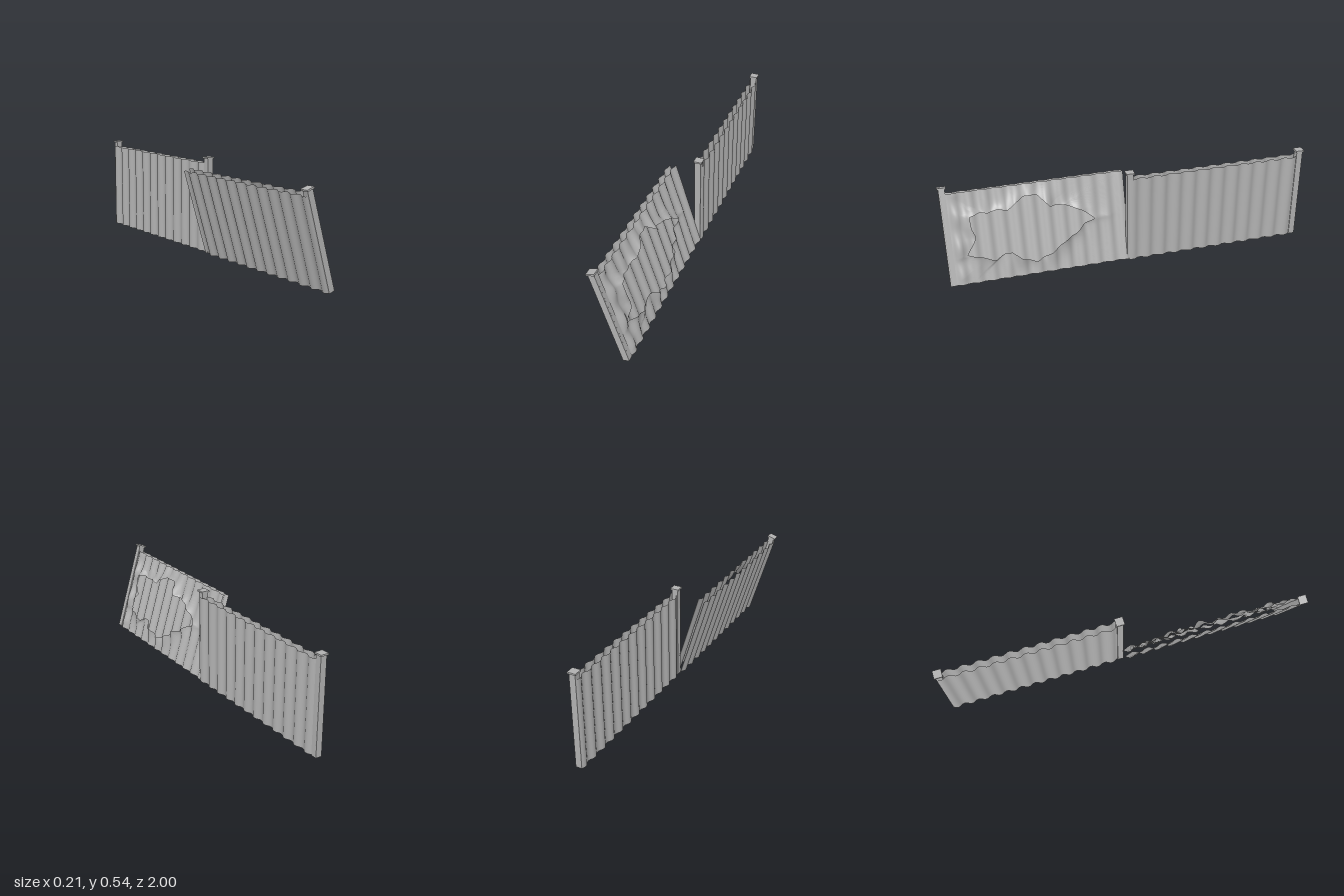
import * as THREE from 'three';

const HEIGHT = 0.5, WAVES = 12, DEPTH = 0.007;

// Corrugation: rounded ridges running up the sheet
const wave = (t) => {
  const s = Math.sin(t * WAVES * Math.PI * 2);
  return DEPTH * Math.sign(s) * Math.pow(Math.abs(s), 0.8);
};

// Grid surface from a rule (i, j) -> [x, y, z]
function surface(nu, nv, rule, closed) {
  const pos = [], idx = [], cols = closed ? nu : nu + 1;
  for (let j = 0; j <= nv; j++)
    for (let i = 0; i < cols; i++) pos.push(...rule(i / nu, j / nv));
  for (let j = 0; j < nv; j++)
    for (let i = 0; i < nu; i++) {
      const k = (i + 1) % cols;
      const a = j * cols + i, b = j * cols + k, c = a + cols, d = b + cols;
      idx.push(a, b, d, a, d, c);
    }
  const g = new THREE.BufferGeometry();
  g.setAttribute('position', new THREE.Float32BufferAttribute(pos, 3));
  g.setIndex(idx);
  g.computeVertexNormals();
  return g;
}

// Intact sheet between two z positions
const plainSheet = (x, z0, z1) =>
  surface(WAVES * 12, 4, (u, v) => [x + wave(u), v * HEIGHT, z0 + (z1 - z0) * u], false);

// Outline of the torn opening as [z, height]
const TEAR = [
  [0.185, 0.262], [0.25, 0.315], [0.345, 0.36], [0.425, 0.362], [0.45, 0.39], [0.49, 0.435],
  [0.56, 0.435], [0.61, 0.405], [0.65, 0.372], [0.70, 0.385], [0.757, 0.37], [0.80, 0.38],
  [0.855, 0.365], [0.85, 0.30], [0.83, 0.25], [0.885, 0.155], [0.81, 0.14], [0.74, 0.11],
  [0.69, 0.14], [0.65, 0.138], [0.60, 0.10], [0.525, 0.07], [0.46, 0.095], [0.40, 0.13],
  [0.36, 0.165], [0.30, 0.19], [0.25, 0.235],
];
const CENTRE = [0.56, 0.255];

// Where a ray from the centre of the opening meets its outline
function tearPoint(dz, dy) {
  for (let i = 0; i < TEAR.length; i++) {
    const a = TEAR[i], b = TEAR[(i + 1) % TEAR.length];
    const ez = b[0] - a[0], ey = b[1] - a[1];
    const pz = a[0] - CENTRE[0], py = a[1] - CENTRE[1];
    const det = dz * ey - dy * ez;
    if (Math.abs(det) < 1e-9) continue;
    const t = (pz * ey - py * ez) / det, s = (pz * dy - py * dz) / det;
    if (t > 0 && s >= -1e-6 && s <= 1 + 1e-6) return [CENTRE[0] + dz * t, CENTRE[1] + dy * t];
  }
  return TEAR[0];
}

// Torn sheet: rings from the opening out to the rectangular edge
function tornSheet(x, z0, z1) {
  const nz = WAVES * 10, ny = 40, rim = [];
  for (let i = 0; i < nz; i++) rim.push([z0 + (z1 - z0) * i / nz, 0]);
  for (let i = 0; i < ny; i++) rim.push([z1, HEIGHT * i / ny]);
  for (let i = 0; i < nz; i++) rim.push([z1 - (z1 - z0) * i / nz, HEIGHT]);
  for (let i = 0; i < ny; i++) rim.push([z0, HEIGHT * (1 - i / ny)]);
  const inner = rim.map((p) => tearPoint(p[0] - CENTRE[0], p[1] - CENTRE[1]));
  const n = rim.length;
  return surface(n, 32, (u, v) => {
    const i = Math.round(u * n) % n, a = inner[i], b = rim[i];
    const z = a[0] + (b[0] - a[0]) * v, y = a[1] + (b[1] - a[1]) * v;
    const gap = Math.hypot(z - a[0], y - a[1]);
    // Edges of the tear bend outwards in uneven flaps
    const flap = 0.017 + 0.009 * Math.sin(z * 31 + y * 17) + 0.005 * Math.sin(z * 67 - y * 23);
    const bend = flap * Math.exp(-gap / 0.05) * (1 - v * v);
    // Shallow dents near the outer post
    const dent = 0.009 * Math.sin(y * 38) * Math.exp(-Math.pow((z - 0.92) / 0.035, 2)) * (1 - v * v);
    return [x + wave((z - z0) / (z1 - z0)) + bend + dent, y, z];
  }, true);
}

export function createModel() {
  const model = new THREE.Group();
  const metal = new THREE.MeshStandardMaterial({ color: 0xb0b0b0, side: THREE.DoubleSide });
  metal.name = 'grey metal';

  const add = (parent, name, geometry) => {
    const mesh = new THREE.Mesh(geometry, metal);
    mesh.name = name;
    parent.add(mesh);
    return mesh;
  };

  // Square post with a flat cap
  const addPost = (parent, name, z) => {
    const post = new THREE.Group();
    post.name = name;
    post.position.z = z;
    add(post, 'postShaft', new THREE.BoxGeometry(0.034, 0.526, 0.034)).position.y = 0.263;
    add(post, 'postCap', new THREE.BoxGeometry(0.046, 0.009, 0.046)).position.y = 0.5305;
    parent.add(post);
  };

  // Upright section
  const upright = new THREE.Group();
  upright.name = 'uprightSection';
  upright.position.set(0.075, 0.01, 0);
  addPost(upright, 'middlePost', 0.003);
  addPost(upright, 'endPost', -0.977);
  add(upright, 'rightSheet', plainSheet(-0.018, 0.01, -0.99));
  add(upright, 'leftSheet', plainSheet(0.018, 0.01, -0.99));
  model.add(upright);

  // Leaning damaged section
  const leaning = new THREE.Group();
  leaning.name = 'leaningSection';
  leaning.position.set(0.073, 0.008, 0);
  leaning.rotation.z = THREE.MathUtils.degToRad(17);
  addPost(leaning, 'leaningPost', 0.977);
  add(leaning, 'leaningRightSheet', plainSheet(-0.018, 0.005, 0.987));
  add(leaning, 'tornLeftSheet', tornSheet(0.018, 0.005, 0.987));
  model.add(leaning);

  return model;
}
